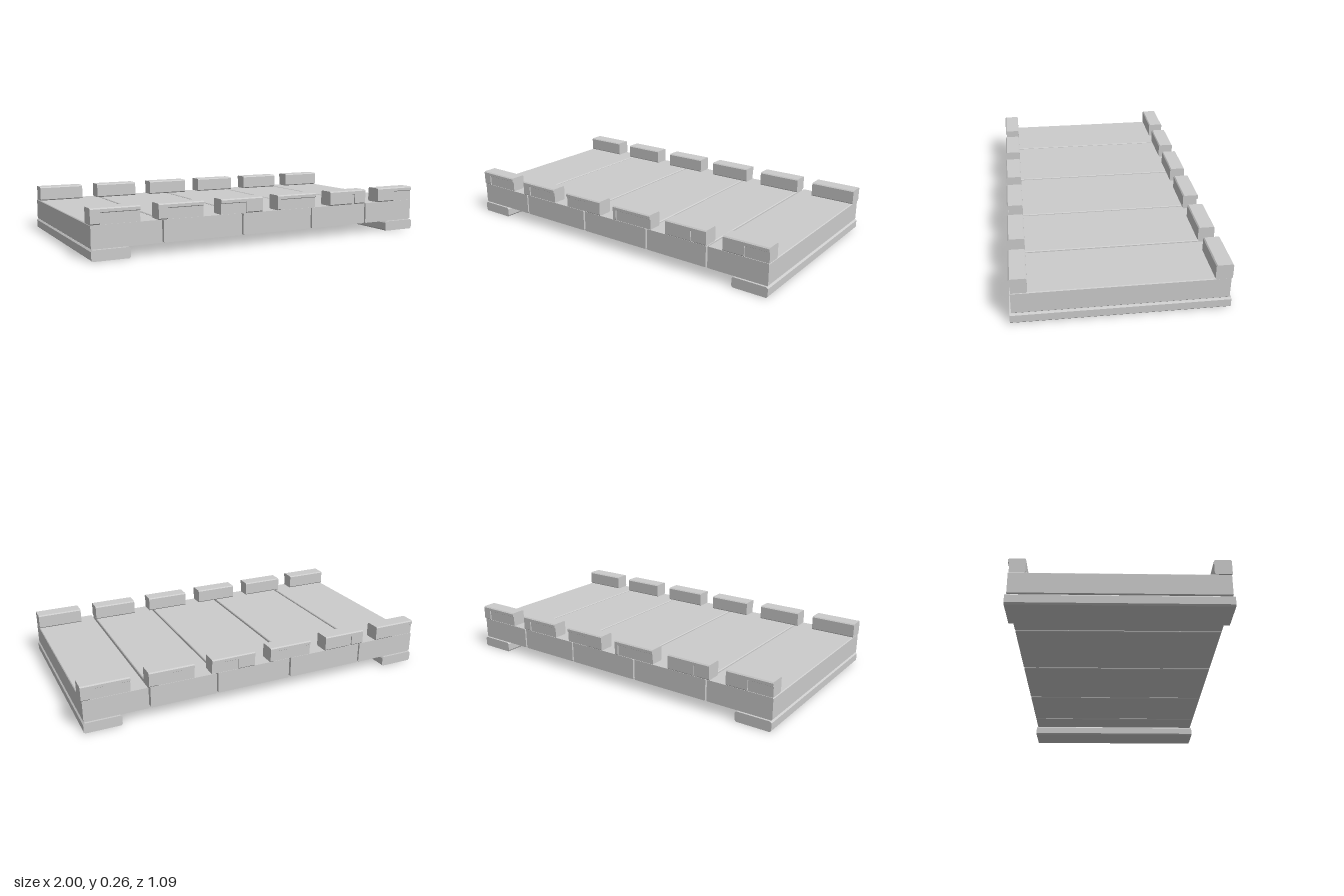
import * as THREE from 'three';

const material = new THREE.MeshStandardMaterial({ color: 0xcccccc, flatShading: true });

// Rectangle outline with small chamfered corners
function chamferedRect(x0, x1, y0, y1, c) {
  return [[x0 + c, y0], [x1 - c, y0], [x1, y0 + c], [x1, y1 - c],
    [x1 - c, y1], [x0 + c, y1], [x0, y1 - c], [x0, y0 + c]];
}

// Extrude an outline from z0 to z1
function prism(name, points, z0, z1) {
  const shape = new THREE.Shape(points.map(([x, y]) => new THREE.Vector2(x, y)));
  const geometry = new THREE.ExtrudeGeometry(shape, { depth: z1 - z0, bevelEnabled: false });
  geometry.translate(0, 0, z0);
  const mesh = new THREE.Mesh(geometry, material);
  mesh.name = name;
  return mesh;
}

// Rail block outlines, with the outer face at u = -0.542; the chipped one has a recessed lower face
const plainBlock = chamferedRect(-0.542, -0.455, 0.175, 0.256, 0.006);
const chippedBlock = [[-0.535, 0.175], [-0.461, 0.175], [-0.455, 0.181], [-0.455, 0.25],
  [-0.461, 0.256], [-0.536, 0.256], [-0.542, 0.25], [-0.542, 0.235], [-0.535, 0.231]];

// One row of blocks: [start, end, chip start, chip end]
const blocks = [
  [-1, -0.745, -0.95, -0.745], [-0.65, -0.4, -0.6, -0.4], [-0.3, -0.05, -0.3, -0.15],
  [0.045, 0.295, 0.065, 0.295], [0.395, 0.645, 0.55, 0.57], [0.74, 0.995, 0.86, 0.995],
];

function createRail(name) {
  const rail = new THREE.Group();
  rail.name = name;
  for (const [start, end, chipStart, chipEnd] of blocks) {
    const block = new THREE.Group();
    block.name = 'railBlock';
    if (chipStart > start) block.add(prism('blockStart', plainBlock, start, chipStart));
    block.add(prism('blockChipped', chippedBlock, chipStart, chipEnd));
    if (chipEnd < end) block.add(prism('blockEnd', plainBlock, chipEnd, end));
    block.rotation.y = Math.PI / 2; // run the extrusion along x
    rail.add(block);
  }
  return rail;
}

export function createModel() {
  const model = new THREE.Group();
  model.name = 'plankBridge';

  // Deck planks across the bridge
  const planks = [[-0.998, -0.631], [-0.622, -0.176], [-0.165, 0.265], [0.274, 0.643], [0.653, 0.995]];
  for (const [x0, x1] of planks) {
    model.add(prism('plank', chamferedRect(x0, x1, 0.058, 0.175, 0.004), -0.538, 0.538));
  }

  // Support beams under both ends
  for (const x of [-0.9, 0.9]) {
    model.add(prism('supportBeam', chamferedRect(x - 0.1, x + 0.1, 0, 0.056, 0.008), -0.547, 0.547));
  }

  // Block rails along both long edges
  const frontRail = createRail('frontRail');
  const backRail = createRail('backRail');
  backRail.rotation.y = Math.PI;
  model.add(frontRail, backRail);
  return model;
}
